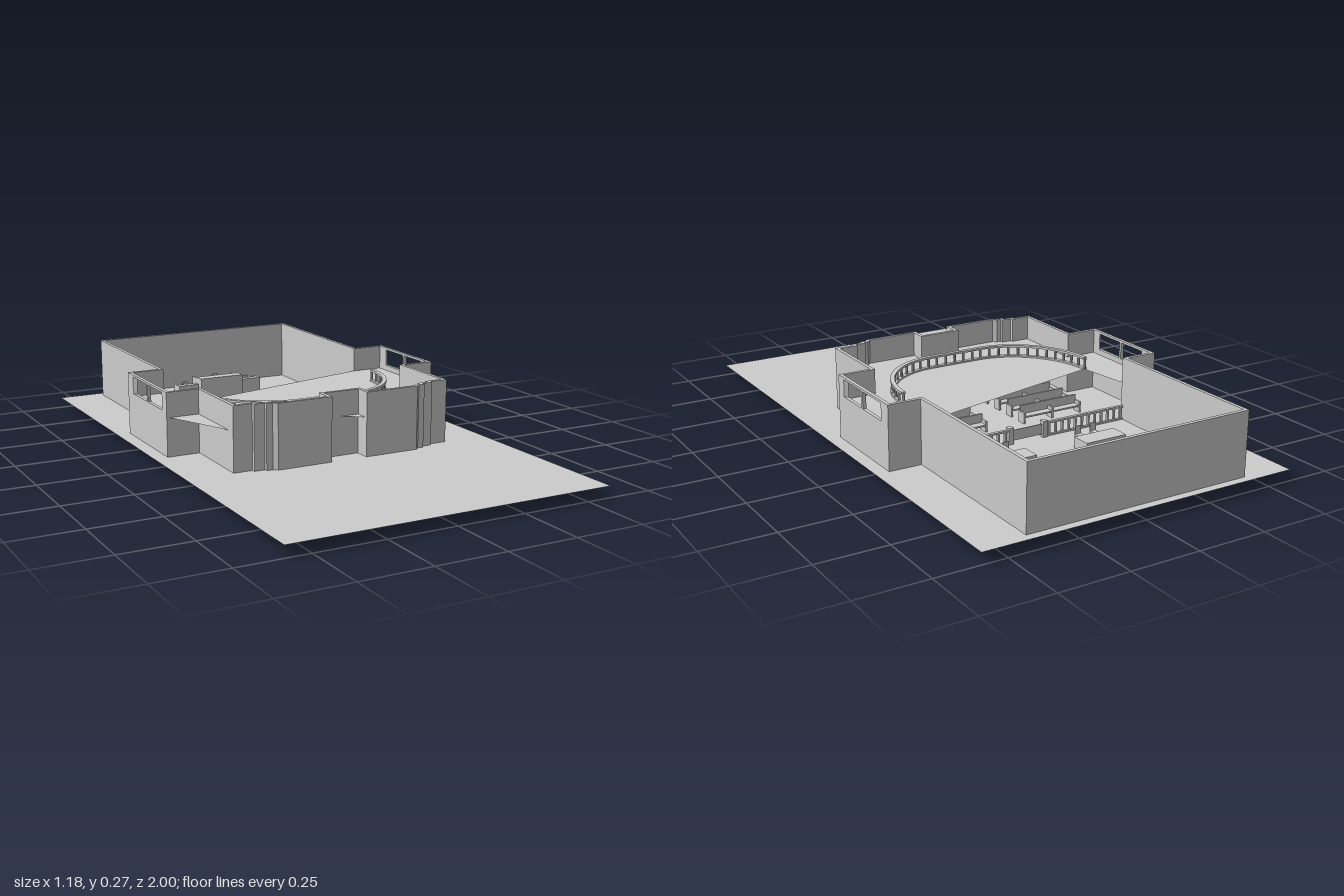
import * as THREE from 'three';

const FLOOR = 0.04, TOP = 0.27, BALCONY = 0.18, WALL = 0.013;
const grey = new THREE.MeshStandardMaterial({ color: 0xcccccc, flatShading: true, side: THREE.DoubleSide });

function add(parent, name, geometry) {
  const mesh = new THREE.Mesh(geometry, grey);
  mesh.name = name;
  parent.add(mesh);
  return mesh;
}

function group(parent, name) {
  const g = new THREE.Group();
  g.name = name;
  parent.add(g);
  return g;
}

// Box given by its limits on each axis
function box(parent, name, x0, x1, y0, y1, z0, z1) {
  const mesh = add(parent, name, new THREE.BoxGeometry(x1 - x0, y1 - y0, z1 - z0));
  mesh.position.set((x0 + x1) / 2, (y0 + y1) / 2, (z0 + z1) / 2);
  return mesh;
}

const planShape = pts => new THREE.Shape(pts.map(([x, z]) => new THREE.Vector2(x, -z)));

// Upright prism over a plan outline of [x, z] points
function prism(parent, name, pts, y0, y1) {
  const geo = new THREE.ExtrudeGeometry(planShape(pts), { depth: y1 - y0, bevelEnabled: false });
  geo.rotateX(-Math.PI / 2);
  return add(parent, name, geo).translateY(y0);
}

// Right half of the building plan, from the back to the entrance
const half = [
  [0.42, -0.97], [0.42, -0.34], [0.54, -0.34], [0.54, 0.025], [0.42, 0.025], [0.42, 0.305],
  [0.35, 0.305], [0.35, 0.318], [0.31, 0.318], [0.31, 0.33], [0.287, 0.33], [0.273, 0.343],
  [0.068, 0.343], [0.068, 0.285],
];
const outline = [...half, ...half.map(([x, z]) => [-x, z]).reverse()];

// Inner wall line: mitred inward offset of the plan
function inset(pts, t) {
  const n = pts.length;
  const normal = (a, b) => {
    const dx = b[0] - a[0], dz = b[1] - a[1], l = Math.hypot(dx, dz);
    return [-dz / l, dx / l];
  };
  return pts.map((p, i) => {
    const a = normal(pts[(i + n - 1) % n], p), b = normal(p, pts[(i + 1) % n]);
    const k = t / (1 + a[0] * b[0] + a[1] * b[1]);
    return [p[0] + (a[0] + b[0]) * k, p[1] + (a[1] + b[1]) * k];
  });
}

function buildWalls(parent) {
  const walls = group(parent, 'walls');
  const inner = inset(outline, WALL);
  const mix = (a, b, t) => [a[0] + (b[0] - a[0]) * t, a[1] + (b[1] - a[1]) * t];
  outline.forEach((p, i) => {
    const j = (i + 1) % outline.length, q = outline[j];
    const panel = (name, t0, t1, y0, y1) => prism(walls, name, [
      mix(p, q, t0), mix(p, q, t1), mix(inner[i], inner[j], t1), mix(inner[i], inner[j], t0)], y0, y1);
    const isWindowWall = Math.abs(p[0]) === 0.54 && p[0] === q[0];
    if (!isWindowWall) return panel('wall', 0, 1, FLOOR, TOP);
    // Wing wall with two windows
    panel('windowSillWall', 0, 1, FLOOR, 0.2);
    panel('windowLintel', 0, 1, 0.262, TOP);
    const at = z => (z - p[1]) / (q[1] - p[1]);
    const posts = [[-0.34, -0.29], [-0.158, -0.148], [-0.015, 0.025]];
    for (const [z0, z1] of posts) panel('windowPost', at(z0), at(z1), 0.2, 0.262);
  });
}

// Points along the curved front of the balcony
function curvePoints(offset, n = 20) {
  const right = [];
  for (let i = 0; i <= n; i++) {
    const a = (i / n) * Math.PI / 2;
    right.push([0.1 + (0.285 - offset) * Math.cos(a), -0.14 + (0.312 - offset) * Math.sin(a)]);
  }
  return [...right, ...right.map(([x, z]) => [-x, z]).reverse()];
}

function buildBalcony(parent) {
  const balcony = group(parent, 'balcony');
  const floor = new THREE.ShapeGeometry(planShape([
    [-0.53, -0.33], [-0.53, 0.025], [-0.42, 0.27], [-0.41, 0.297], [-0.34, 0.3], [-0.27, 0.335],
    [-0.075, 0.335], [-0.07, 0.28], [0, 0.285], [0.07, 0.335], [0.27, 0.335], [0.34, 0.3],
    [0.41, 0.297], [0.41, 0.02], [0.53, 0.02], [0.53, -0.33], [0.41, -0.33], [-0.375, -0.14], [-0.4, -0.33],
  ]));
  floor.rotateX(-Math.PI / 2);
  add(balcony, 'balconyFloor', floor).position.y = BALCONY;

  // Curved railing: lower curb, handrail and balusters
  const ring = [...curvePoints(0), ...curvePoints(0.016).reverse()];
  prism(balcony, 'railingCurb', ring, BALCONY, BALCONY + 0.006);
  prism(balcony, 'handrail', ring, 0.218, 0.226);
  const path = new THREE.CatmullRomCurve3(curvePoints(0.008).map(([x, z]) => new THREE.Vector3(x, 0, z)));
  path.getSpacedPoints(30).forEach(p => {
    const post = add(balcony, 'baluster', new THREE.CylinderGeometry(0.005, 0.005, 0.036, 8));
    post.position.set(p.x, 0.202, p.z);
  });
}

// Low rail dividing the public seating from the court, with a central gate
function buildBar(parent) {
  const bar = group(parent, 'dividingRail');
  for (const s of [-1, 1]) {
    const cx = s * 0.24;
    box(bar, 'barTopRail', cx - 0.168, cx + 0.168, 0.086, 0.093, -0.339, -0.327);
    box(bar, 'barBottomRail', cx - 0.168, cx + 0.168, FLOOR, 0.046, -0.338, -0.328);
    for (let i = 0; i < 12; i++) {
      const x = s * (0.09 + i * 0.028);
      box(bar, 'barBaluster', x - 0.004, x + 0.004, 0.046, 0.086, -0.337, -0.329);
    }
    box(bar, 'gatePost', s * 0.07 - 0.01, s * 0.07 + 0.01, FLOOR, 0.1, -0.343, -0.323);
  }
  box(bar, 'gate', -0.06, 0.06, 0.05, 0.088, -0.335, -0.331);
}

function buildChair(parent, x, z, facing, base = FLOOR) {
  const chair = group(parent, 'chair');
  box(chair, 'seat', -0.012, 0.012, 0.02, 0.026, -0.012, 0.012);
  box(chair, 'chairBack', -0.012, 0.012, 0.026, 0.055, -0.012, -0.008);
  for (const sx of [-1, 1]) for (const sz of [-1, 1]) {
    box(chair, 'chairLeg', sx * 0.01 - 0.002, sx * 0.01 + 0.002, 0, 0.02, sz * 0.01 - 0.002, sz * 0.01 + 0.002);
  }
  chair.position.set(x, base, z);
  if (facing < 0) chair.rotation.y = Math.PI;
}

function buildPew(parent, cx, z) {
  const pew = group(parent, 'pew');
  box(pew, 'pewSeat', -0.12, 0.12, 0.022, 0.028, -0.032, 0);
  box(pew, 'pewBack', -0.12, 0.12, 0.022, 0.06, -0.002, 0.005);
  for (const x of [-0.12, 0, 0.12]) box(pew, 'pewSupport', x - 0.004, x + 0.004, -0.003, 0.04, -0.03, 0.004);
  pew.position.set(cx, FLOOR, z);
}

// Raised judge's bench with a lower desk on either side
function buildBench(parent) {
  const bench = group(parent, 'judgeBench');
  box(bench, 'platform', -0.08, 0.08, FLOOR, 0.055, -0.82, -0.71);
  box(bench, 'benchFront', -0.09, 0.09, FLOOR, 0.12, -0.71, -0.7);
  box(bench, 'benchTop', -0.095, 0.09, 0.12, 0.126, -0.74, -0.697);
  for (const s of [-1, 1]) {
    box(bench, 'benchSide', s * 0.088 - 0.005, s * 0.088 + 0.005, FLOOR, 0.12, -0.79, -0.7);
    box(bench, 'sideDeskFront', s * 0.14 - 0.042, s * 0.14 + 0.042, FLOOR, 0.1, -0.728, -0.72);
    box(bench, 'sideDeskTop', s * 0.14 - 0.042, s * 0.14 + 0.042, 0.096, 0.101, -0.745, -0.718);
    box(bench, 'sideDeskEnd', s * 0.178 - 0.004, s * 0.178 + 0.004, FLOOR, 0.1, -0.775, -0.72);
    buildChair(bench, s * 0.135, -0.76, 1, 0.05);
  }
  buildChair(bench, 0, -0.76, 1, 0.07);
}

export function createModel() {
  const model = new THREE.Group();
  model.name = 'courtroom';

  const ground = add(model, 'ground', new THREE.PlaneGeometry(1.18, 2));
  ground.rotation.x = -Math.PI / 2;
  ground.position.y = FLOOR;

  buildWalls(model);
  buildBalcony(model);
  buildBar(model);
  buildBench(model);

  // Counsel tables with two chairs each, and the rows of pews
  for (const s of [-1, 1]) {
    box(model, 'counselTable', s * 0.182 - 0.082, s * 0.182 + 0.082, 0, 0.078, -0.545, -0.472);
    for (const x of [0.147, 0.21]) buildChair(model, s * x, -0.437, -1);
    for (let row = 0; row < 5; row++) buildPew(model, s * 0.2, -0.165 + row * 0.083);
  }
  return model;
}
